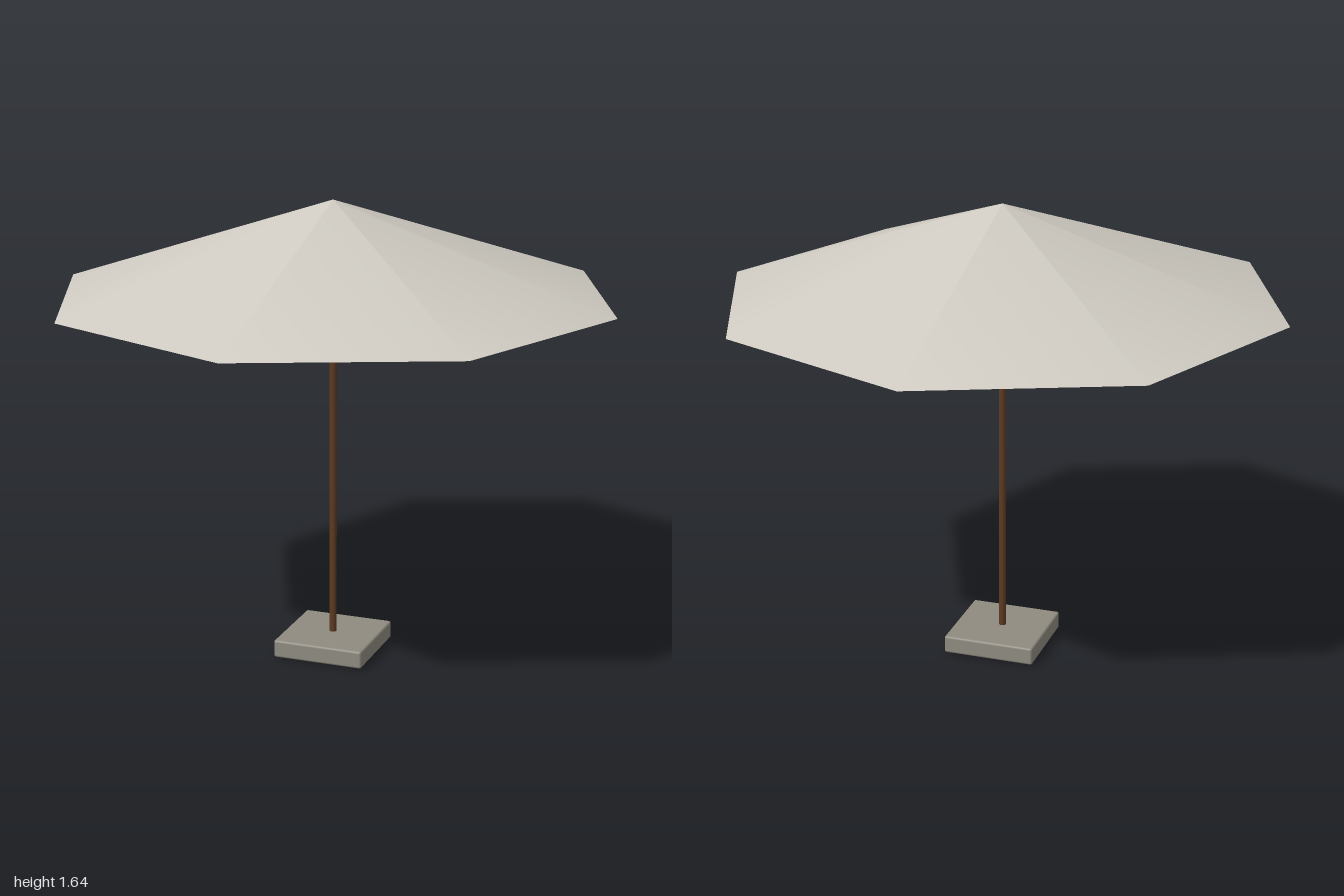
import * as THREE from 'three';
import { RoundedBoxGeometry } from 'three/addons/geometries/RoundedBoxGeometry.js';

function material(name, color) {
  const m = new THREE.MeshStandardMaterial({ color });
  m.name = name;
  return m;
}

export function createModel() {
  const group = new THREE.Group();
  group.name = 'parasol';

  const fabric = material('canopyFabric', 0xcfcbc2);
  const wood = material('poleWood', 0x5c3a21);
  const stone = material('baseStone', 0x8f8b80);

  const add = (name, geometry, mat, y) => {
    const mesh = new THREE.Mesh(geometry, mat);
    mesh.name = name;
    mesh.position.y = y;
    group.add(mesh);
  };

  // Eight-sided canopy, smooth on top with a flat closed underside
  const rimY = 1.305, apexY = 1.64;
  add('canopy', new THREE.ConeGeometry(1, apexY - rimY, 8), fabric, (rimY + apexY) / 2);

  // Pole runs through the base and just into the canopy
  const poleTop = 1.32;
  add('pole', new THREE.CylinderGeometry(0.013, 0.013, poleTop, 12), wood, poleTop / 2);

  // Square weighted base with softened edges
  add('base', new RoundedBoxGeometry(0.33, 0.064, 0.33, 2, 0.008), stone, 0.038);

  return group;
}
